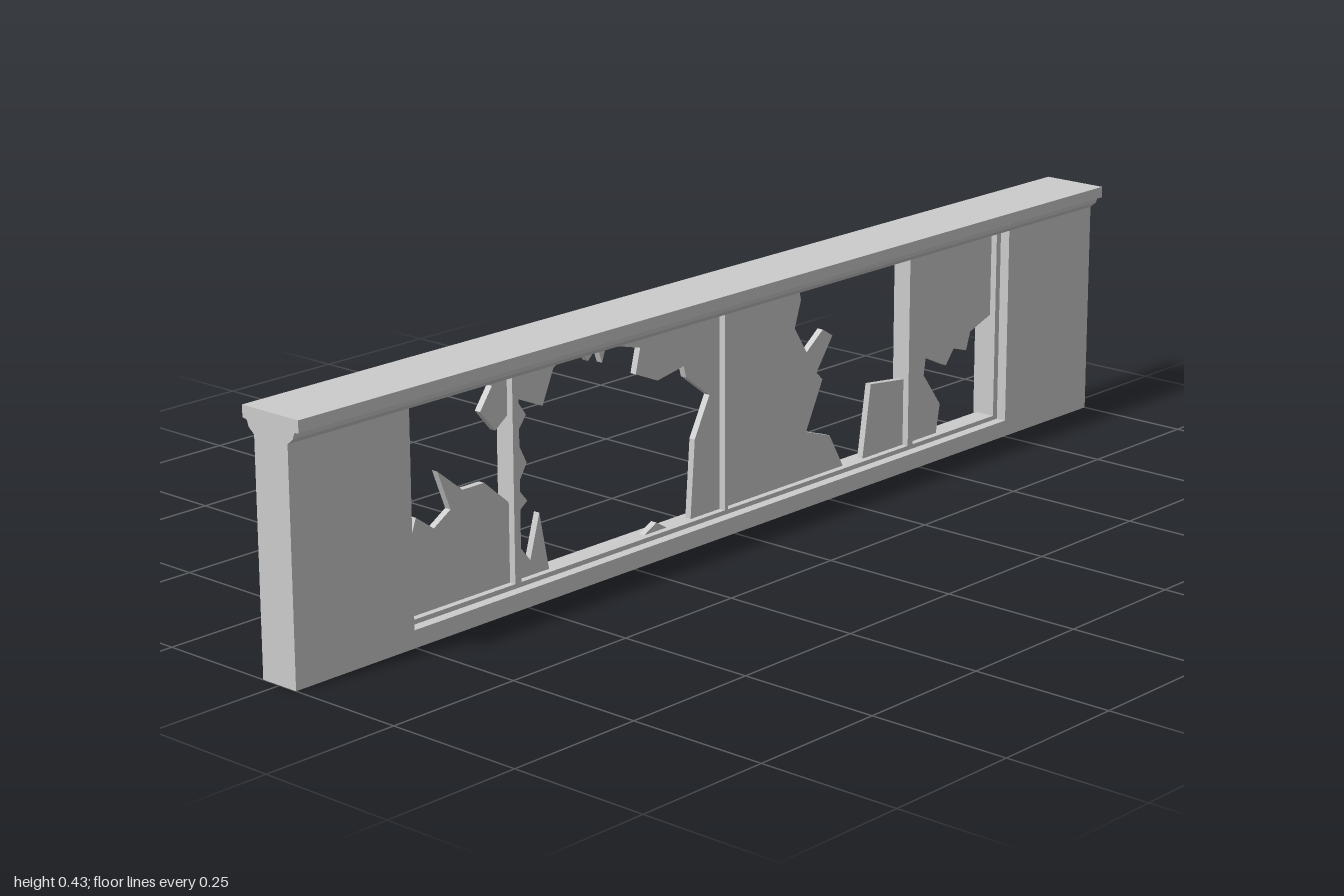
import * as THREE from 'three';

const material = new THREE.MeshStandardMaterial({ color: 0xcccccc, flatShading: true });
const openMaterial = new THREE.MeshStandardMaterial({ color: 0xcccccc, flatShading: true, side: THREE.DoubleSide });

// Shape from [x, y] pairs
const shapeOf = (pts) => new THREE.Shape(pts.map(([x, y]) => new THREE.Vector2(x, y)));

// Extrusion centred on its own depth
function slab(shape, depth) {
  const g = new THREE.ExtrudeGeometry(shape, { depth, bevelEnabled: false });
  g.translate(0, 0, -depth / 2);
  return g;
}

// Drop the triangles lying on the ground, leaving the wall hollow and open underneath
function openBottom(geometry) {
  const p = geometry.attributes.position;
  const kept = [];
  for (let i = 0; i < p.count; i += 3) {
    if ([0, 1, 2].every((k) => p.getY(i + k) < 1e-4)) continue;
    for (let k = 0; k < 3; k++) kept.push(p.getX(i + k), p.getY(i + k), p.getZ(i + k));
  }
  const out = new THREE.BufferGeometry();
  out.setAttribute('position', new THREE.Float32BufferAttribute(kept, 3));
  out.computeVertexNormals();
  return out;
}

export function createModel() {
  const group = new THREE.Group();
  const add = (name, geometry, x = 0, y = 0, mat = material) => {
    const mesh = new THREE.Mesh(geometry, mat);
    mesh.name = name;
    mesh.position.set(x, y, 0);
    group.add(mesh);
  };

  const halfOpening = 0.752, sill = 0.03, top = 0.395;

  // Wall: two end piers joined by a low sill, hollow inside
  const wall = shapeOf([
    [-1, 0], [1, 0], [1, top], [halfOpening, top], [halfOpening, sill],
    [-halfOpening, sill], [-halfOpening, top], [-1, top],
  ]);
  add('wall', openBottom(slab(wall, 0.074)), 0, 0, openMaterial);

  // Moulded cornice along the top
  const half = [[0.037, 0.39], [0.049, 0.4], [0.052, 0.409], [0.055, 0.411], [0.062, 0.412], [0.062, 0.432]];
  const cornice = slab(shapeOf([...half, ...half.map(([z, y]) => [-z, y]).reverse()]), 2);
  cornice.rotateY(Math.PI / 2);
  add('cornice', cornice);

  // Window frame: rails, jambs and mullions
  const depth = 0.036, midY = (sill + top) / 2;
  add('bottomRail', new THREE.BoxGeometry(halfOpening * 2, 0.008, depth), 0, sill + 0.004);
  add('topRail', new THREE.BoxGeometry(halfOpening * 2, 0.01, depth), 0, top - 0.004);
  for (const side of [-1, 1]) {
    add('jamb', new THREE.BoxGeometry(0.012, top - sill, depth), side * (halfOpening - 0.006), midY);
  }
  for (const [x, width] of [[-0.503, 0.014], [0, 0.008], [0.497, 0.014]]) {
    add('mullion', new THREE.BoxGeometry(width, top - sill, depth), x, midY);
  }

  // Broken panes: each a rectangle with a jagged hole
  const panes = [
    { from: -0.748, to: -0.503, hole: [
      [-0.743, 0.387], [-0.57, 0.387], [-0.543, 0.374], [-0.57, 0.337], [-0.537, 0.299],
      [-0.507, 0.321], [-0.507, 0.171], [-0.564, 0.219], [-0.612, 0.219], [-0.666, 0.262],
      [-0.639, 0.193], [-0.676, 0.171], [-0.714, 0.198], [-0.743, 0.123]] },
    { from: -0.503, to: 0, hole: [
      [-0.493, 0.278], [-0.468, 0.31], [-0.491, 0.342], [-0.43, 0.316], [-0.404, 0.374],
      [-0.377, 0.388], [-0.34, 0.388], [-0.324, 0.368], [-0.302, 0.388], [-0.291, 0.358],
      [-0.281, 0.385], [-0.2, 0.364], [-0.211, 0.321], [-0.158, 0.299], [-0.094, 0.31],
      [-0.088, 0.289], [-0.03, 0.246], [-0.067, 0.176], [-0.078, 0.037], [-0.136, 0.037],
      [-0.163, 0.053], [-0.195, 0.037], [-0.42, 0.037], [-0.441, 0.139], [-0.463, 0.064],
      [-0.49, 0.096], [-0.49, 0.15], [-0.468, 0.166], [-0.491, 0.193], [-0.468, 0.23]] },
    { from: 0, to: 0.497, hole: [
      [0.2, 0.388], [0.493, 0.388], [0.493, 0.16], [0.398, 0.171], [0.377, 0.037],
      [0.323, 0.037], [0.286, 0.102], [0.222, 0.123], [0.265, 0.209], [0.249, 0.225],
      [0.291, 0.283], [0.265, 0.299], [0.222, 0.267], [0.19, 0.316], [0.206, 0.364]] },
    { from: 0.497, to: 0.748, hole: [
      [0.743, 0.23], [0.682, 0.209], [0.671, 0.176], [0.634, 0.187], [0.612, 0.16],
      [0.553, 0.187], [0.548, 0.155], [0.596, 0.091], [0.586, 0.037], [0.743, 0.037]] },
  ];
  for (const { from, to, hole } of panes) {
    const pane = shapeOf([[from, sill + 0.003], [to, sill + 0.003], [to, top - 0.003], [from, top - 0.003]]);
    pane.holes.push(shapeOf(hole));
    add('brokenPane', slab(pane, 0.012));
  }

  return group;
}
